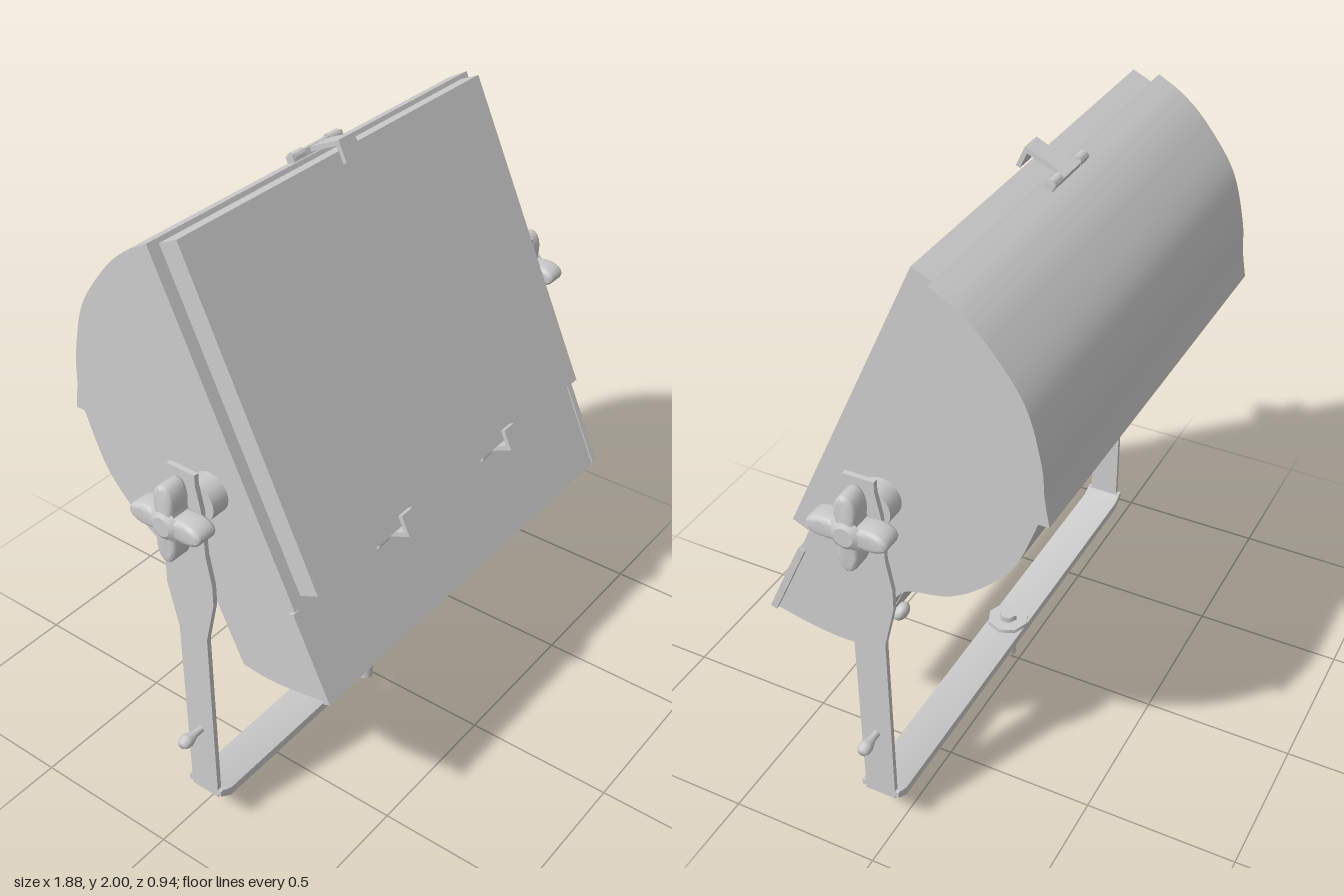
import * as THREE from 'three';
import { toCreasedNormals } from 'three/addons/utils/BufferGeometryUtils.js';

const MATERIAL = new THREE.MeshStandardMaterial({ color: 0xcccccc, side: THREE.DoubleSide });
const V = (x, y) => new THREE.Vector2(x, y);
const PIVOT_Z = 0.052;

function add(parent, name, geometry, x = 0, y = 0, z = 0) {
  const mesh = new THREE.Mesh(geometry, MATERIAL);
  mesh.name = name;
  mesh.position.set(x, y, z);
  parent.add(mesh);
  return mesh;
}

const box = (parent, name, w, h, d, x, y, z) => add(parent, name, new THREE.BoxGeometry(w, h, d), x, y, z);

// Extrudes a shape and centres it along the extrusion
function slab(shape, depth, bevel = 0) {
  const g = new THREE.ExtrudeGeometry(shape, {
    depth: depth - 2 * bevel, curveSegments: 16, bevelEnabled: bevel > 0,
    bevelSize: bevel, bevelThickness: bevel, bevelOffset: -bevel, bevelSegments: 3,
  });
  g.translate(0, 0, -depth / 2 + bevel);
  return toCreasedNormals(g, 0.6);
}

// Same, but the shape is drawn as (z, y) and extruded along x
const sideSlab = (shape, width, bevel) => slab(shape, width, bevel).rotateY(-Math.PI / 2);

// Cylinder along x starting at x = 0
const rod = (r1, r2, length, sides = 24) =>
  new THREE.CylinderGeometry(r2, r1, length, sides).rotateZ(-Math.PI / 2).translate(length / 2, 0, 0);

function housingShape() {
  const s = new THREE.Shape();
  s.moveTo(0.47, 0.66);
  s.lineTo(-0.12, 1.94);
  s.splineThru([V(-0.205, 1.89), V(-0.29, 1.81), V(-0.39, 1.667), V(-0.437, 1.5), V(-0.448, 1.39), V(-0.463, 1.3)]);
  s.lineTo(-0.43, 1.3);
  s.splineThru([V(-0.36, 1.127), V(-0.257, 1.01), V(-0.15, 0.937), V(-0.04, 0.91), V(0.0, 0.892), V(0.035, 0.85)]);
  s.lineTo(0.14, 0.625);
  s.splineThru([V(0.245, 0.62), V(0.36, 0.635), V(0.47, 0.66)]);
  return s;
}

// L-shaped latch gripping the edge of the door, dir = +1 on top, -1 at the bottom
function addLatch(parent, name, x, y, dir, width, barWidth) {
  const g = new THREE.Group();
  g.name = name;
  g.position.set(x, y, 0);
  parent.add(g);
  box(g, 'latchPlate', width, 0.015, 0.135, 0, dir * 0.012, 0.03);
  box(g, 'latchLip', width, 0.07, 0.014, 0, -dir * 0.015, 0.093);
  box(g, 'latchBar', barWidth, 0.022, 0.028, 0, dir * 0.01, dir > 0 ? -0.03 : 0.015);
  for (const s of [-1, 1]) {
    const pin = add(g, 'latchPin', rod(0.016, 0.016, 0.05, 12), s * barWidth * 0.36 - 0.025, dir * 0.012, dir > 0 ? -0.03 : 0.015);
    pin.castShadow = false;
  }
}

function starShape() {
  const pts = [];
  for (let i = 0; i < 64; i++) {
    const a = (i / 64) * Math.PI * 2;
    const r = 0.088 + 0.041 * Math.cos(4 * a);
    pts.push(V(Math.cos(a) * r, Math.sin(a) * r));
  }
  return new THREE.Shape(pts);
}

// Everything carried on one arm of the yoke, built for +x
function addArm(parent, side) {
  const g = new THREE.Group();
  g.name = side > 0 ? 'leftArm' : 'rightArm';
  if (side < 0) g.rotation.y = Math.PI;
  g.position.z = PIVOT_Z;
  parent.add(g);

  // Flat strap, widened below the pivot
  const half = [[0.052, 0.13], [0.053, 0.78], [0.088, 0.93], [0.088, 1.0], [0.07, 1.1],
    [0.066, 1.25], [0.05, 1.33], [0.05, 1.365]];
  const outline = [...half.map(([z, y]) => V(z, y)), ...half.slice().reverse().map(([z, y]) => V(-z, y))];
  add(g, 'strap', sideSlab(new THREE.Shape(outline), 0.016), 0.842, 0, 0);

  // Pivot boss, washers and stem
  add(g, 'pivotBoss', rod(0.064, 0.064, 0.065, 32), 0.735, 1.225, 0);
  add(g, 'pivotStem', rod(0.022, 0.022, 0.1), 0.79, 1.225, 0);
  add(g, 'pivotWasher', rod(0.045, 0.045, 0.012), 0.82, 1.225, 0);

  // Four-lobed clamp knob with a domed hub
  add(g, 'clampKnob', sideSlab(starShape(), 0.078, 0.014), 0.895, 1.225, 0);
  add(g, 'clampHub', rod(0.055, 0.03, 0.015), 0.927, 1.225, 0);

  // Small side peg with a bulbous tip
  const peg = new THREE.LatheGeometry([V(0.012, 0), V(0.012, 0.03), V(0.022, 0.06), V(0.022, 0.075), V(0.014, 0.09), V(0, 0.091)], 20);
  add(g, 'sidePeg', peg.rotateZ(-Math.PI / 2), 0.847, 0.395, 0);
}

export function createModel() {
  const model = new THREE.Group();
  model.name = 'floodlight';

  // Lamp housing
  add(model, 'housing', sideSlab(housingShape(), 1.476));

  // Parts lying on the sloping front plane share a tilted frame
  const head = new THREE.Group();
  head.name = 'tiltedHead';
  head.position.set(0, 0.66, 0.47);
  head.rotation.x = -0.431;
  model.add(head);
  box(head, 'door', 1.396, 1.063, 0.07, 0, 0.864, 0.035);
  addLatch(head, 'topLatch', 0, 1.41, 1, 0.072, 0.23);
  for (const x of [-0.29, 0.26]) addLatch(head, 'lowerLatch', x, 0.325, -1, 0.052, 0.165);
  for (const s of [-1, 1]) {
    box(head, 'edgeGuard', 0.024, 0.3, 0.022, s * 0.738, 0.152, -0.007);
    box(head, 'rearPlate', 0.57, 0.14, 0.012, s * 0.365, 0.255, -0.312);
  }
  // Control buttons on the rear
  for (const x of [0.6, 0.44, -0.41, -0.5]) {
    add(head, 'buttonStem', new THREE.CylinderGeometry(0.02, 0.02, 0.03, 16).rotateX(Math.PI / 2), x, 0.165, -0.318);
    add(head, 'button', new THREE.SphereGeometry(0.032, 20, 14).scale(1, 1, 0.7), x, 0.165, -0.335);
  }

  // Yoke: crossbar with chamfered corners plus two arms
  const bar = new THREE.Shape([V(-0.85, 0.16), V(-0.85, 0.14), V(-0.805, 0.11), V(0.805, 0.11), V(0.85, 0.14), V(0.85, 0.16),
    V(0.834, 0.16), V(0.834, 0.155), V(0.8, 0.14), V(-0.8, 0.14), V(-0.834, 0.155), V(-0.834, 0.16)]);
  add(model, 'crossbar', slab(bar, 0.13), 0, 0, PIVOT_Z);
  addArm(model, 1);
  addArm(model, -1);

  // Mounting spigot, washer and nut
  const spigot = (name, r, h, y, sides) =>
    add(model, name, new THREE.CylinderGeometry(r, r, h, sides), -0.02, y + h / 2, PIVOT_Z);
  spigot('spigot', 0.028, 0.16, 0, 24);
  spigot('washer', 0.072, 0.014, 0.145, 8);
  spigot('nut', 0.032, 0.022, 0.158, 6);

  return model;
}
